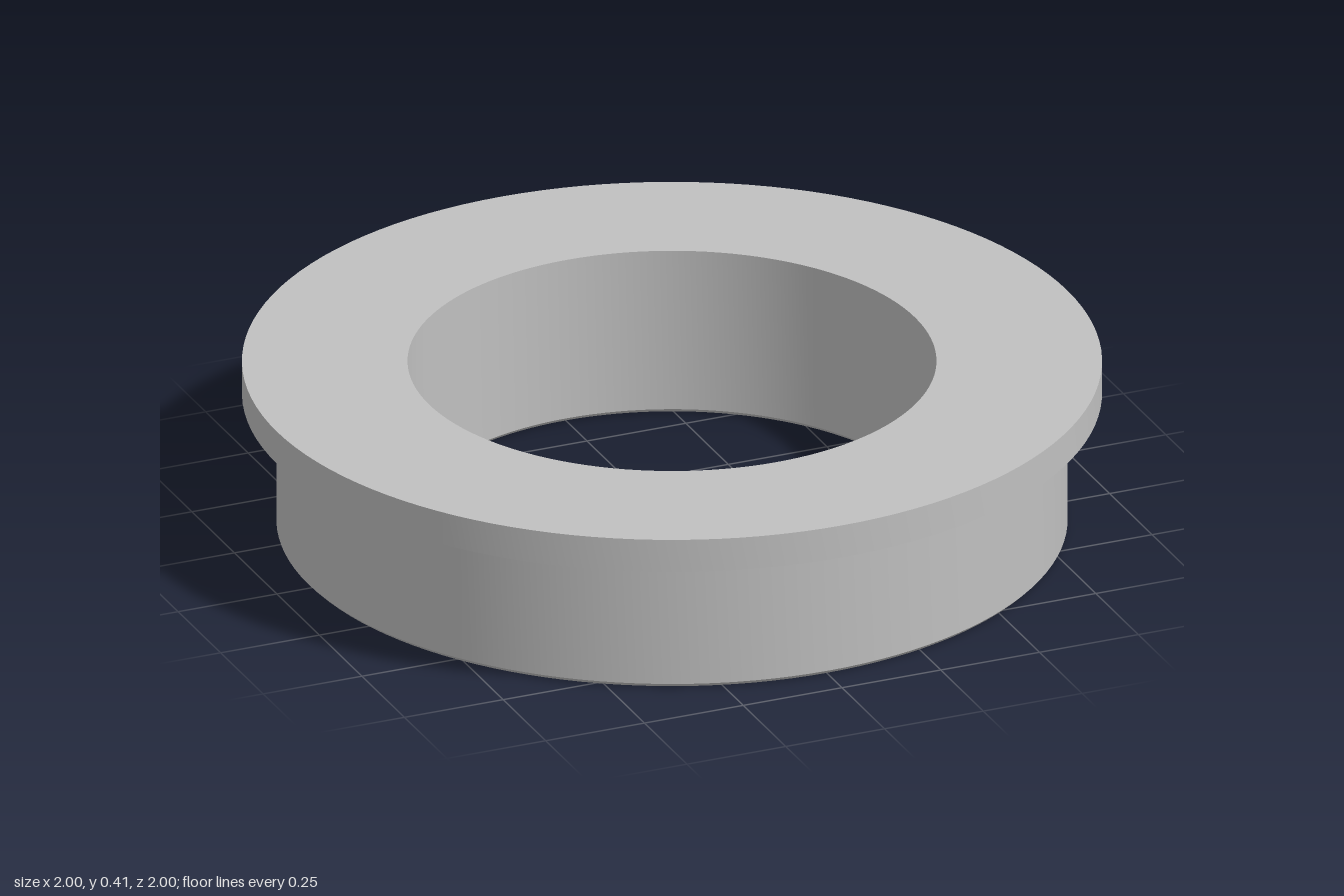
import * as THREE from 'three';
import { toCreasedNormals } from 'three/addons/utils/BufferGeometryUtils.js';

const BORE = 0.615, BODY = 0.92, RIM = 1;
const TOP = 0.415, LEDGE = 0.333, BEVEL = 0.01;

// Spins a [radius, height] profile around y, keeping its corners sharp
function ring(name, profile, material) {
  const points = profile.map(([r, y]) => new THREE.Vector2(r, y));
  const geometry = toCreasedNormals(new THREE.LatheGeometry(points, 128), 0.5);
  const mesh = new THREE.Mesh(geometry, material);
  mesh.name = name;
  return mesh;
}

export function createModel() {
  const metal = new THREE.MeshStandardMaterial({ color: 0xc0c0c0 });
  metal.name = 'grey metal';

  const model = new THREE.Group();
  model.name = 'flangedBushing';

  // Sleeve: bore, bevelled bottom edges and outer wall
  model.add(ring('sleeve', [
    [BORE, TOP], [BORE, BEVEL], [BORE + BEVEL, 0],
    [BODY - BEVEL, 0], [BODY, BEVEL], [BODY, LEDGE],
  ], metal));

  // Flange: underside ledge, rim and flat top, meeting the sleeve at both ends
  model.add(ring('flange', [
    [BODY, LEDGE], [RIM, LEDGE], [RIM, TOP], [BORE, TOP],
  ], metal));

  return model;
}
